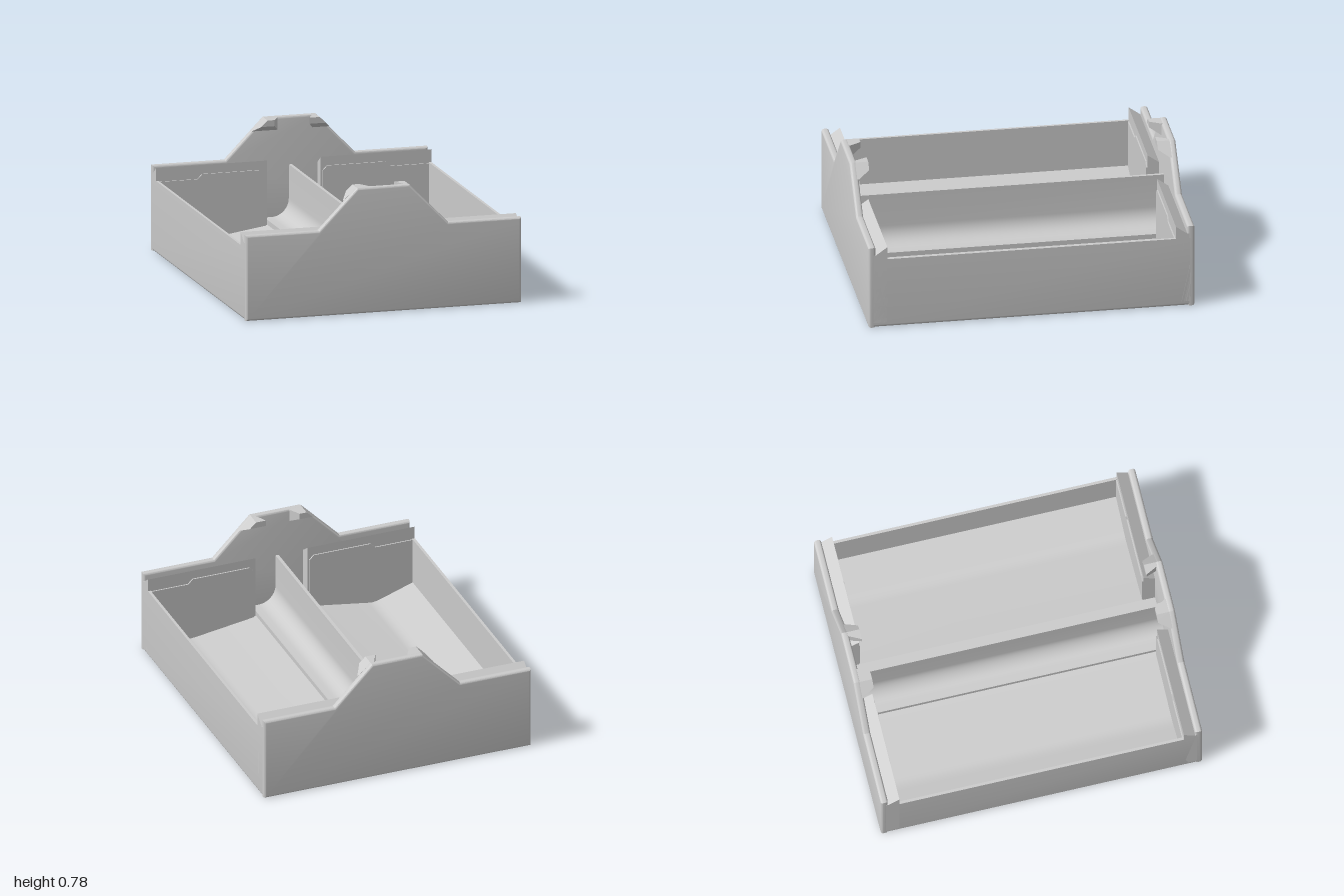
import * as THREE from 'three';
import { toCreasedNormals } from 'three/addons/utils/BufferGeometryUtils.js';
import { ConvexGeometry } from 'three/addons/geometries/ConvexGeometry.js';

const material = new THREE.MeshStandardMaterial({ color: 0xcccccc });
const W = 0.87;        // half width
const INNER = 0.885;   // inner face of the end walls
const PLATE = 0.955;   // inner face of the outer end plates

function addMesh(parent, name, geometry) {
  const mesh = new THREE.Mesh(toCreasedNormals(geometry, 0.5), material);
  mesh.name = name;
  parent.add(mesh);
  return mesh;
}

const polygon = (points) => new THREE.Shape(points.map(([x, y]) => new THREE.Vector2(x, y)));

// Half of the tray cross-section, from the divider top out to the outer bottom edge
function halfSection() {
  const pts = [[0.01, 0.48]];
  const r = 0.11, floor = 0.16;
  // concave fillet between divider and middle floor
  for (let i = 0; i <= 10; i++) {
    const a = Math.PI + (i / 10) * Math.PI / 2;
    pts.push([0.01 + r + r * Math.cos(a), floor + r + r * Math.sin(a)]);
  }
  // step, sloping floor and rising outer floor
  pts.push([0.165, floor], [0.165, 0.13], [0.56, 0.07], [0.59, 0.067], [0.62, 0.071], [0.65, 0.08], [0.853, 0.15]);
  // side wall
  pts.push([0.853, 0.45], [W, 0.45]);
  // rounded bottom edge
  const b = 0.018;
  for (let i = 0; i <= 5; i++) {
    const a = -(i / 5) * Math.PI / 2;
    pts.push([W - b + b * Math.cos(a), b + b * Math.sin(a)]);
  }
  return pts;
}

// Outer end plate with the raised middle
function plateGeometry() {
  const shape = polygon([
    [-W, 0], [W, 0], [W, 0.53], [0.41, 0.53], [0.165, 0.78],
    [-0.165, 0.78], [-0.41, 0.53], [-W, 0.53],
  ]);
  const bevel = 0.014;
  const geo = new THREE.ExtrudeGeometry(shape, {
    depth: 1 - PLATE - 2 * bevel, bevelEnabled: true, bevelSize: bevel,
    bevelThickness: bevel, bevelOffset: -bevel, bevelSegments: 4,
  });
  geo.translate(0, 0, PLATE + bevel);
  return geo;
}

// Inner end wall with a sloping groove behind its top edge, run along x
function ledgeGeometry(xMin, xMax) {
  const shape = polygon([[INNER, 0.03], [0.97, 0.03], [0.97, 0.48], [PLATE, 0.48], [INNER, 0.53]]);
  const geo = new THREE.ExtrudeGeometry(shape, { depth: xMax - xMin, bevelEnabled: false });
  geo.rotateY(-Math.PI / 2);
  geo.translate(xMax, 0, 0);
  return geo;
}

// Thin raised panel on the inner face of an end wall
function panelGeometry(side) {
  const pts = [
    [0.18, 0.05], [0.86, 0.05], [0.86, 0.445], [0.61, 0.445],
    [0.58, 0.475], [0.21, 0.475], [0.18, 0.445],
  ].map(([x, y]) => [x * side, y]);
  const geo = new THREE.ExtrudeGeometry(polygon(pts), { depth: 0.012, bevelEnabled: false });
  geo.translate(0, 0, 0.877);
  return geo;
}

// Overhanging hook at the top of the raised middle; x0 and x1 bound the slot
function hookGeometry(side, x0, x1, zSign) {
  const z1 = 0.965;
  const pts = [
    [side * 0.165, 0.778, INNER], [side * 0.205, 0.74, INNER],
    [side * 0.165, 0.778, z1], [side * 0.245, 0.70, PLATE], [side * 0.245, 0.70, z1],
    [x0, 0.778, INNER], [x0, 0.74, INNER],
    [x1, 0.778, PLATE], [x1, 0.70, PLATE], [x1, 0.778, z1], [x1, 0.70, z1],
  ];
  return new ConvexGeometry(pts.map(([x, y, z]) => new THREE.Vector3(x, y, z * zSign)));
}

export function createModel() {
  const model = new THREE.Group();
  model.name = 'dividedTray';

  // Floor, side walls and divider as one section along z
  const half = halfSection();
  const section = polygon([...half, ...half.map(([x, y]) => [-x, y]).reverse()]);
  const body = new THREE.ExtrudeGeometry(section, { depth: 1.95, bevelEnabled: false });
  body.translate(0, 0, -0.975);
  addMesh(model, 'trayBody', body);

  for (const zSign of [1, -1]) {
    const end = new THREE.Group();
    end.name = zSign > 0 ? 'frontEnd' : 'backEnd';
    end.rotation.y = zSign > 0 ? 0 : Math.PI;
    addMesh(end, 'endPlate', plateGeometry());
    addMesh(end, 'leftLedge', ledgeGeometry(0.17, W));
    addMesh(end, 'rightLedge', ledgeGeometry(-W, -0.17));
    addMesh(end, 'leftPanel', panelGeometry(1));
    addMesh(end, 'rightPanel', panelGeometry(-1));
    model.add(end);

    // The slot between the hooks slants the same way at both ends
    addMesh(model, 'leftHook', hookGeometry(1, 0.10, 0.14, zSign));
    addMesh(model, 'rightHook', hookGeometry(-1, -0.12, -0.08, zSign));
  }
  return model;
}
